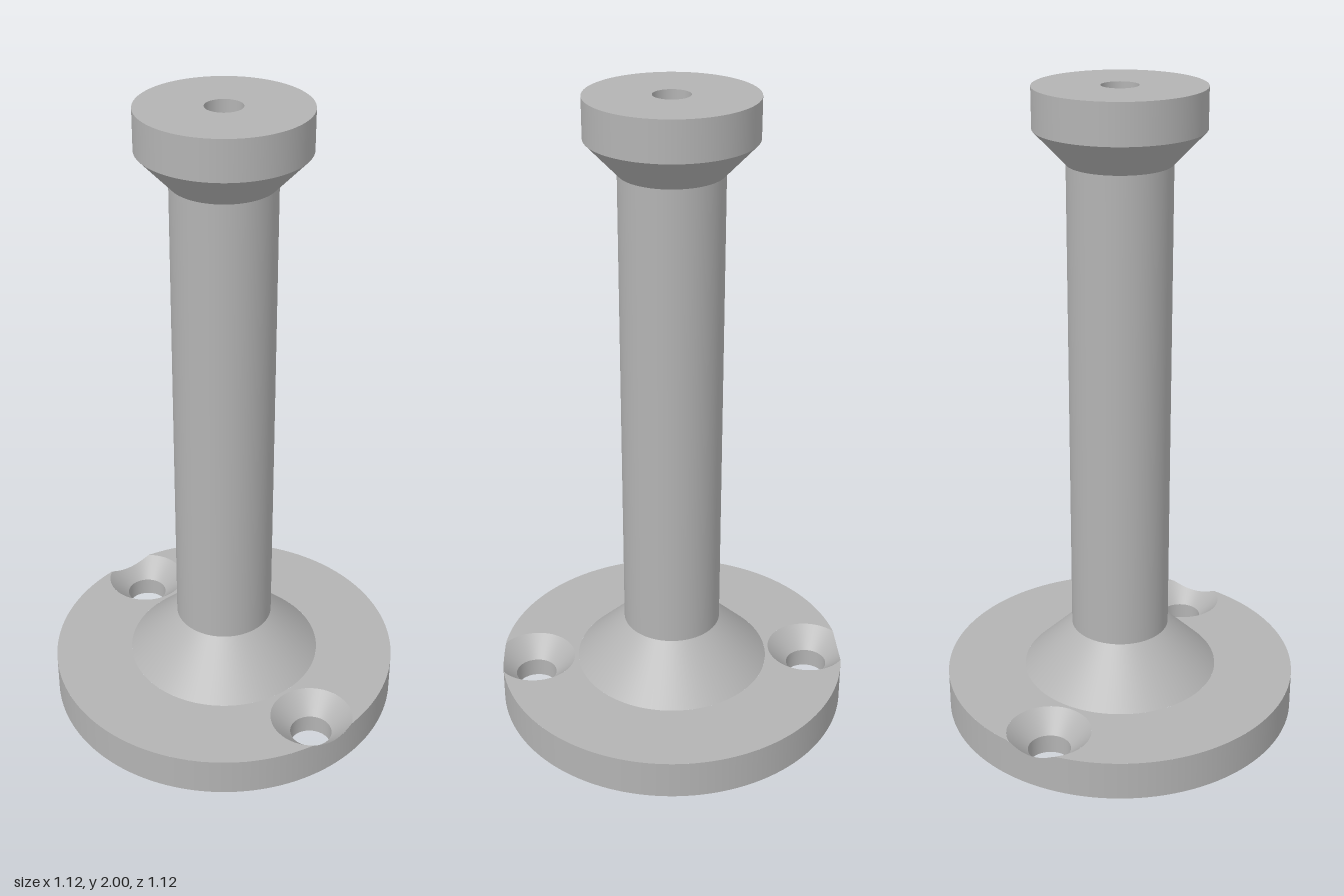
import * as THREE from 'three';

const R = 0.56, BASE_H = 0.125;                    // base flange
const SINK_X = 0.452, SINK_R = 0.13, SCREW_R = 0.066; // countersunk screw holes
const CONE_R = 0.31, BORE_R = 0.1, TOP_HOLE_R = 0.055, STEP_Y = 1.88;

export function createModel() {
  const group = new THREE.Group();
  const grey = new THREE.MeshStandardMaterial({ color: 0xb3b3b3 });
  grey.name = 'grey metal';

  const add = (name, geometry, parent = group) => {
    const mesh = new THREE.Mesh(geometry, grey);
    mesh.name = name;
    parent.add(mesh);
    return mesh;
  };
  // One turned surface; rising points face outward, falling points face inward
  const band = (r0, y0, r1, y1, segments = 96) =>
    new THREE.LatheGeometry([new THREE.Vector2(r0, y0), new THREE.Vector2(r1, y1)], segments);
  const circle = (x, r) => new THREE.Path().absarc(x, 0, r, 0, Math.PI * 2, true);

  // Post, head and stepped bore
  add('lowerCone', band(CONE_R, BASE_H, 0.155, 0.28));
  add('shaft', band(0.155, 0.28, 0.155, 1.78));
  add('headTaper', band(0.155, 1.78, 0.25, 1.88));
  add('headRim', band(0.25, 1.88, 0.25, 2));
  add('headTop', band(0.25, 2, TOP_HOLE_R, 2));
  add('topHole', band(TOP_HOLE_R, 2, TOP_HOLE_R, STEP_Y));
  add('boreStep', band(TOP_HOLE_R, STEP_Y, BORE_R, STEP_Y));
  add('bore', band(BORE_R, STEP_Y, BORE_R, 0));

  // Base top: disc notched where the countersinks break through the rim
  const t = Math.acos((R * R + SINK_X * SINK_X - SINK_R * SINK_R) / (2 * R * SINK_X));
  const p = Math.atan2(R * Math.sin(t), R * Math.cos(t) - SINK_X);
  const top = new THREE.Shape();
  top.absarc(0, 0, R, t, Math.PI - t, false);
  top.absarc(-SINK_X, 0, SINK_R, Math.PI - p, p - Math.PI, true);
  top.absarc(0, 0, R, Math.PI + t, 2 * Math.PI - t, false);
  top.absarc(SINK_X, 0, SINK_R, -p, p, true);
  top.holes.push(circle(0, CONE_R));
  add('baseTop', new THREE.ShapeGeometry(top, 64).rotateX(-Math.PI / 2).translate(0, BASE_H, 0));

  // Base underside with three holes
  const bottom = new THREE.Shape().absarc(0, 0, R, 0, Math.PI * 2, false);
  bottom.holes.push(circle(0, BORE_R), circle(SINK_X, SCREW_R), circle(-SINK_X, SCREW_R));
  add('baseUnderside', new THREE.ShapeGeometry(bottom, 64).rotateX(Math.PI / 2));

  // Base rim: upper edge dips along the countersink cones
  const rim = band(R, 0, R, BASE_H, 360);
  const rp = rim.attributes.position;
  for (let i = 0; i < rp.count; i++) {
    if (rp.getY(i) < 0.01) continue;
    const d = Math.hypot(Math.abs(rp.getX(i)) - SINK_X, rp.getZ(i));
    rp.setY(i, BASE_H - Math.max(0, SINK_R - d));
  }
  add('baseRim', rim);

  // Countersunk screw holes, cones trimmed to the rim
  const sinkY = BASE_H - (SINK_R - SCREW_R);
  for (const side of [1, -1]) {
    const hole = new THREE.Group();
    hole.name = side > 0 ? 'leftScrewHole' : 'rightScrewHole';
    hole.position.x = side * SINK_X;
    group.add(hole);
    const cone = band(SINK_R, BASE_H, SCREW_R, sinkY);
    const cp = cone.attributes.position;
    for (let i = 0; i < cp.count; i++) {
      const x = cp.getX(i), z = cp.getZ(i), r = Math.hypot(x, z);
      // Distance from the hole centre to the rim along this direction
      const b = side * SINK_X * x / r;
      const reach = -b + Math.sqrt(b * b + R * R - SINK_X * SINK_X);
      if (r > reach) cp.setXYZ(i, x * reach / r, BASE_H - (SINK_R - reach), z * reach / r);
    }
    add('countersink', cone, hole);
    add('screwBore', band(SCREW_R, sinkY, SCREW_R, 0), hole);
  }
  return group;
}
